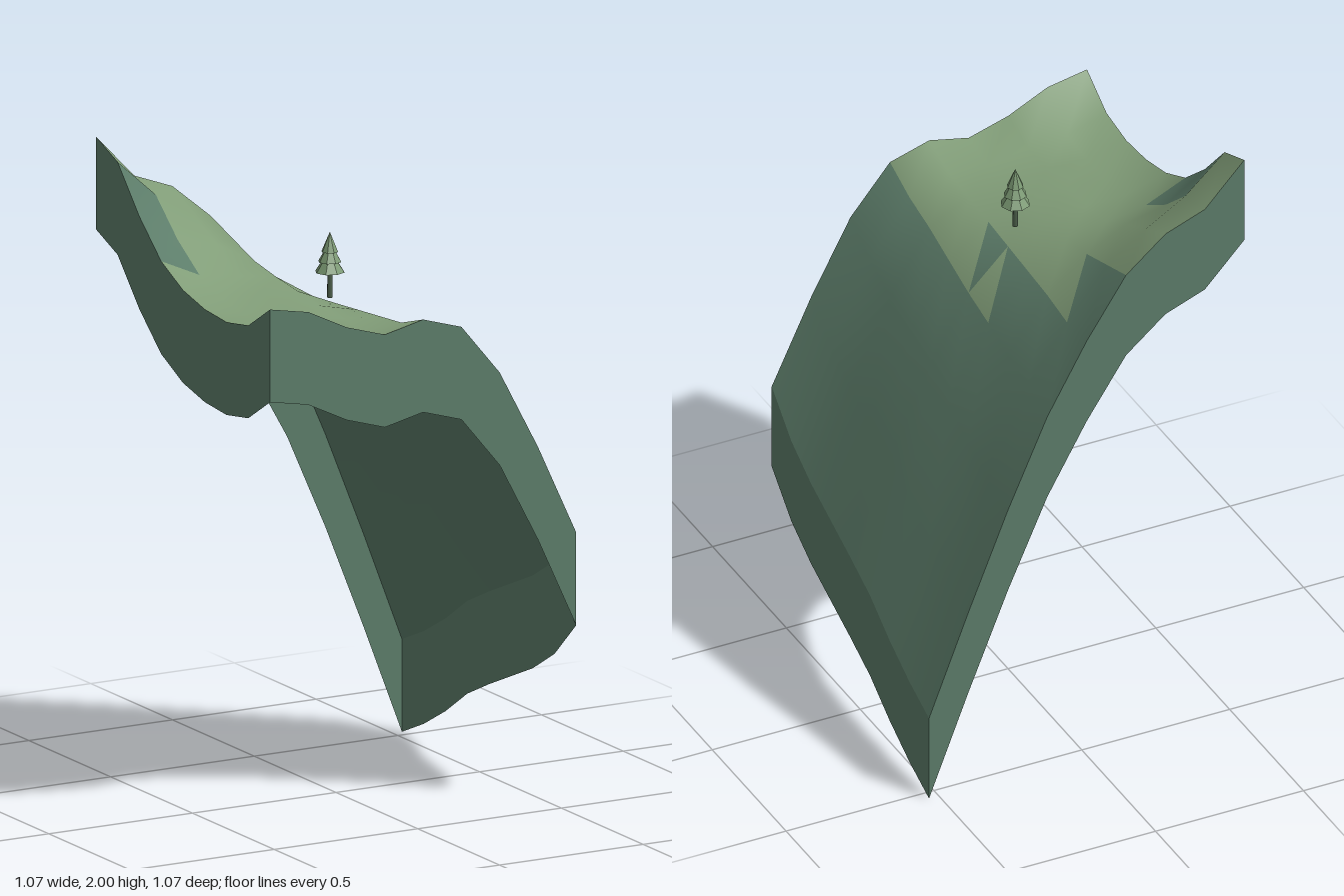
import * as THREE from 'three';

const N = 8, HALF = 0.533, STEP = (2 * HALF) / N, DEPTH = 0.29;

// Ground heights: one row per z (back to front), one entry per x (-x to +x)
const HEIGHTS = [
  [2.00, 1.86, 1.81, 1.70, 1.50, 1.265, 0.965, 0.635, 0.29],
  [1.95, 1.83, 1.75, 1.66, 1.49, 1.30, 1.00, 0.68, 0.345],
  [1.81, 1.72, 1.69, 1.62, 1.51, 1.335, 1.05, 0.745, 0.415],
  [1.70, 1.64, 1.62, 1.60, 1.52, 1.37, 1.12, 0.82, 0.50],
  [1.64, 1.60, 1.60, 1.585, 1.53, 1.40, 1.17, 0.875, 0.56],
  [1.61, 1.575, 1.59, 1.57, 1.54, 1.44, 1.22, 0.925, 0.615],
  [1.60, 1.57, 1.575, 1.56, 1.55, 1.48, 1.27, 0.975, 0.67],
  [1.62, 1.58, 1.57, 1.55, 1.56, 1.51, 1.32, 1.045, 0.745],
  [1.70, 1.675, 1.61, 1.57, 1.60, 1.56, 1.40, 1.15, 0.865],
];

// Ground cover per cell: '.' grass, '#' rock, '/' rock on the back-left half only
const COVER = [
  '...#####', '#../####', '#...####', '..../###',
  '..../###', '.....###', '.....###', '.....###',
];

const point = (i, j) => [-HALF + i * STEP, HEIGHTS[j][i], -HALF + j * STEP];

function meshGeometry(positions, index) {
  const g = new THREE.BufferGeometry();
  g.setAttribute('position', new THREE.Float32BufferAttribute(positions, 3));
  g.setIndex(index);
  g.computeVertexNormals();
  return g;
}

// Smooth height field, split into a grass group and a rock group
function terrainGeometry() {
  const positions = [], grass = [], rock = [];
  for (let j = 0; j <= N; j++) for (let i = 0; i <= N; i++) positions.push(...point(i, j));
  for (let j = 0; j < N; j++) {
    for (let i = 0; i < N; i++) {
      const a = j * (N + 1) + i, b = a + 1, c = a + N + 1, d = c + 1;
      const cover = COVER[j][i];
      (cover === '.' ? grass : rock).push(a, c, b);
      (cover === '#' ? rock : grass).push(b, c, d);
    }
  }
  const g = meshGeometry(positions, [...grass, ...rock]);
  g.addGroup(0, grass.length, 0);
  g.addGroup(grass.length, rock.length, 1);
  return g;
}

// Skirt of constant depth hanging from one edge of the ground
function wallGeometry(edge) {
  const positions = [], index = [];
  for (let k = 0; k <= N; k++) {
    const [x, y, z] = point(...edge(k));
    positions.push(x, y, z, x, y - DEPTH, z);
    if (k < N) {
      const t = k * 2;
      index.push(t, t + 1, t + 2, t + 2, t + 1, t + 3);
    }
  }
  return meshGeometry(positions, index);
}

export function createModel() {
  const material = (name, color, side = THREE.FrontSide) => {
    const m = new THREE.MeshStandardMaterial({ color, side });
    m.name = name;
    return m;
  };
  const grass = material('grass', 0x819d78, THREE.DoubleSide);
  const rock = material('rock', 0x5c7c69, THREE.DoubleSide);
  const foliage = material('foliage', 0x7a9872);
  foliage.flatShading = true;
  const bark = material('bark', 0x4a5c48);

  const model = new THREE.Group();
  model.name = 'hillside';
  const add = (parent, name, geometry, mat, y = 0) => {
    const mesh = new THREE.Mesh(geometry, mat);
    mesh.name = name;
    mesh.position.y = y;
    parent.add(mesh);
  };

  // Hollow, open-bottomed ground block
  add(model, 'ground', terrainGeometry(), [grass, rock]);
  const edges = {
    frontWall: k => [k, N],
    rightWall: k => [0, k],
    backWall: k => [N - k, 0],
    leftWall: k => [N, N - k],
  };
  for (const [name, edge] of Object.entries(edges)) add(model, name, wallGeometry(edge), rock);

  // Small conifer: trunk and three stacked cones
  const tree = new THREE.Group();
  tree.name = 'tree';
  tree.position.set(-0.047, 0, 0.045);
  add(tree, 'trunk', new THREE.CylinderGeometry(0.007, 0.009, 0.1, 8), bark, 1.615);
  [[0.046, 1.645, 0.07], [0.036, 1.677, 0.065], [0.026, 1.708, 0.062]].forEach(([r, y, h], n) =>
    add(tree, `foliageTier${n + 1}`, new THREE.ConeGeometry(r, h, 8), foliage, y + h / 2));
  model.add(tree);
  return model;
}
